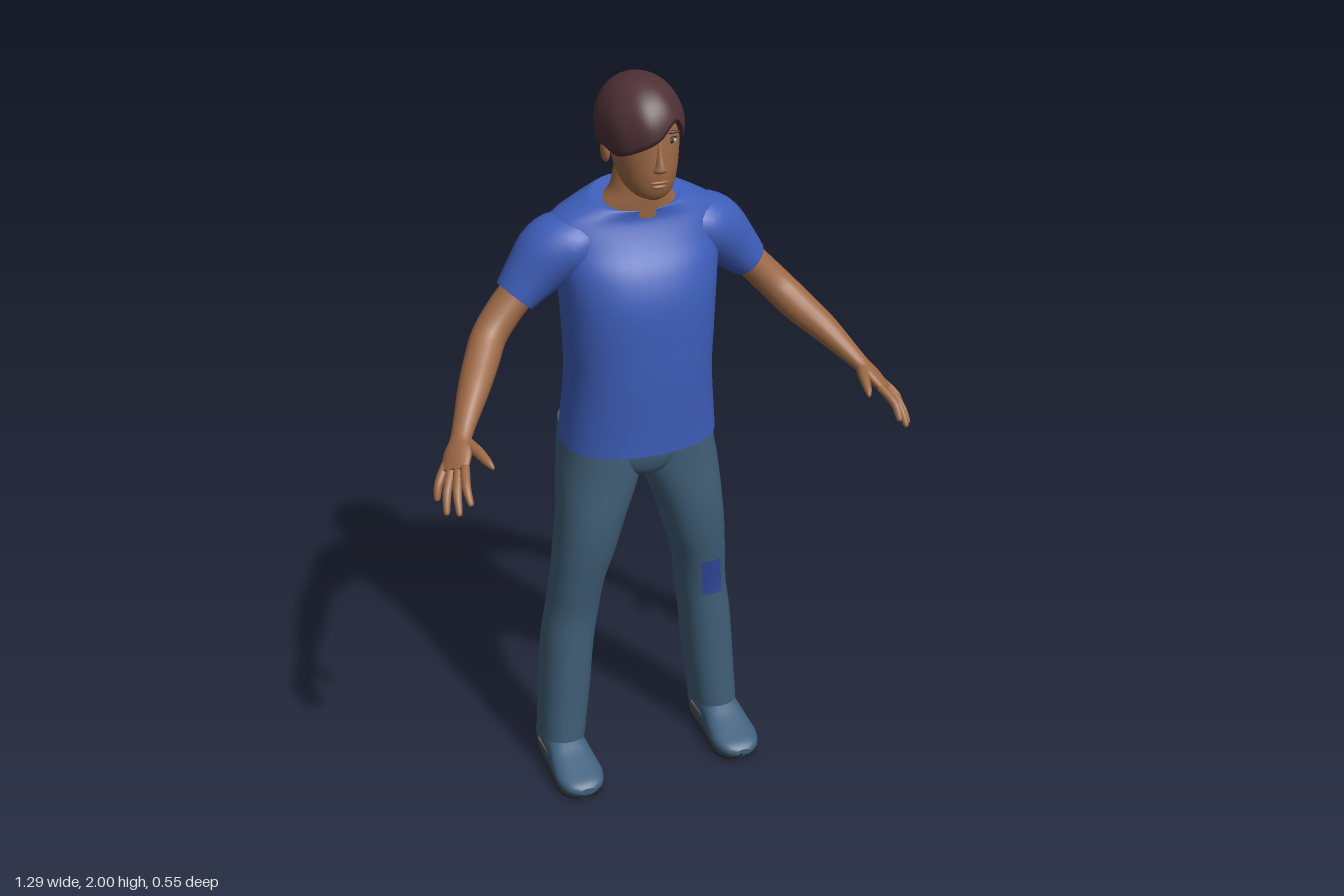
import * as THREE from 'three';

const V = (x, y, z) => new THREE.Vector3(x, y, z);
const mat = (name, color, side = THREE.FrontSide) => {
  const m = new THREE.MeshStandardMaterial({ color, side });
  m.name = name;
  return m;
};

// Smoothly interpolate rows of numbers (Catmull-Rom per column)
function smooth(rows, k = 4) {
  const out = [], at = i => rows[Math.min(Math.max(i, 0), rows.length - 1)];
  for (let i = 0; i < rows.length - 1; i++) {
    for (let j = 0; j < k; j++) {
      const t = j / k;
      out.push(rows[0].map((_, c) => {
        const a = at(i - 1)[c], b = at(i)[c], d = at(i + 1)[c], e = at(i + 2)[c];
        return b + 0.5 * t * (d - a + t * (2 * a - 5 * b + 4 * d - e + t * (3 * (b - d) + e - a)));
      }));
    }
  }
  out.push(rows[rows.length - 1]);
  return out;
}

// Superelliptic ring spanned by u and v, from angle a0 to a1
function ring(c, u, v, p = 2, n = 28, a0 = 0, a1 = Math.PI * 2) {
  const f = x => Math.sign(x) * Math.pow(Math.abs(x), 2 / p);
  return Array.from({ length: n }, (_, i) => {
    const a = a0 + (a1 - a0) * i / n;
    return c.clone().addScaledVector(u, f(Math.cos(a))).addScaledVector(v, f(Math.sin(a)));
  });
}

// Skin a list of rings; closed lofts get end caps and outward winding
function loft(rings, closed = true) {
  const pos = [], idx = [], n = rings[0].length;
  const put = p => { pos.push(p.x, p.y, p.z); return pos.length / 3 - 1; };
  rings.forEach(r => r.forEach(put));
  for (let i = 0; i < rings.length - 1; i++) {
    for (let j = 0; j < (closed ? n : n - 1); j++) {
      const a = i * n + j, b = i * n + (j + 1) % n;
      idx.push(a, a + n, b, b, a + n, b + n);
    }
  }
  if (closed) {
    [rings[0], rings[rings.length - 1]].forEach((r, e) => {
      const c = put(r.reduce((s, p) => s.add(p), V(0, 0, 0)).divideScalar(n)), o = r.map(put);
      for (let j = 0; j < n; j++) {
        const k = (j + 1) % n;
        if (e) idx.push(c, o[k], o[j]); else idx.push(c, o[j], o[k]);
      }
    });
    let vol = 0;
    const P = i => V(pos[3 * i], pos[3 * i + 1], pos[3 * i + 2]);
    for (let i = 0; i < idx.length; i += 3) vol += P(idx[i]).dot(P(idx[i + 1]).cross(P(idx[i + 2])));
    if (vol < 0) idx.reverse();
  }
  const g = new THREE.BufferGeometry();
  g.setAttribute('position', new THREE.Float32BufferAttribute(pos, 3));
  g.setIndex(idx);
  g.computeVertexNormals();
  return g;
}

// Upright form, rows are [y, cx, cz, rx, rz, front dip]
const upright = (rows, p = 2, k = 4) => loft(smooth(rows, k).map(([y, cx, cz, rx, rz, dip = 0]) =>
  ring(V(cx, y, cz), V(rx, 0, 0), V(0, -dip, rz), p, 36)));

// Limb along a path, rows are [x, y, z, half width, half thickness]
const across = V(0.5, -0.2, -0.84).normalize();
function limb(rows, n = 18, k = 4) {
  const s = smooth(rows, k), pt = s.map(r => V(r[0], r[1], r[2]));
  return loft(s.map((r, i) => {
    const t = pt[Math.min(i + 1, s.length - 1)].clone().sub(pt[Math.max(i - 1, 0)]).normalize();
    const u = across.clone().addScaledVector(t, -across.dot(t)).normalize();
    const v = t.clone().cross(u);
    return ring(pt[i], u.multiplyScalar(r[3]), v.multiplyScalar(r[4]), 2, n);
  }));
}

function mirror(geo) {
  const g = geo.clone();
  g.scale(-1, 1, 1);
  g.setIndex(Array.from(g.index.array).reverse());
  return g;
}

export function createModel() {
  const root = new THREE.Group();
  root.name = 'standingMan';
  const skin = mat('skin', 0x9c6845), hair = mat('hair', 0x4e3035), shirt = mat('shirtBlue', 0x3d5db8);
  const denim = mat('denim', 0x3f5d75), shoe = mat('shoe', 0x3f5f7c), sole = mat('sole', 0x22272b);
  const patch = mat('kneePatch', 0x34489c, THREE.DoubleSide), tear = mat('tear', 0xa07050, THREE.DoubleSide);
  const white = mat('eyeWhite', 0xb8b0a8), dark = mat('eyeDark', 0x2c2422);
  const add = (name, geo, m) => {
    const o = new THREE.Mesh(geo, m);
    o.name = name;
    root.add(o);
  };
  const pair = (name, geo, m) => { add(name + 'Left', geo, m); add(name + 'Right', mirror(geo), m); };
  const blob = (x, y, z, rx, ry, rz) => new THREE.SphereGeometry(1, 18, 12).scale(rx, ry, rz).translate(x, y, z);

  // Shirt body and sleeves
  add('shirt', upright([
    [1.01, 0, -0.11, 0.212, 0.16, 0], [1.07, 0, -0.107, 0.206, 0.16, 0], [1.2, 0, -0.1, 0.195, 0.162, 0],
    [1.3, 0, -0.097, 0.198, 0.16, 0], [1.42, 0, -0.1, 0.205, 0.16, 0], [1.5, 0, -0.111, 0.216, 0.149, 0],
    [1.56, 0, -0.125, 0.23, 0.13, 0], [1.6, 0, -0.13, 0.237, 0.115, 0], [1.635, 0, -0.128, 0.218, 0.101, 0.004],
    [1.662, 0, -0.12, 0.172, 0.092, 0.012], [1.682, 0, -0.11, 0.124, 0.084, 0.021],
    [1.683, 0, -0.108, 0.112, 0.077, 0.024],
  ], 2.25), shirt);
  pair('sleeve', limb([
    [0.1, 1.55, -0.125, 0.09, 0.07], [0.17, 1.56, -0.13, 0.104, 0.085], [0.222, 1.542, -0.131, 0.094, 0.087],
    [0.278, 1.49, -0.129, 0.073, 0.069], [0.323, 1.443, -0.125, 0.06, 0.052],
  ], 24), shirt);

  // Arms and hands
  pair('arm', limb([
    [0.27, 1.495, -0.128, 0.05, 0.045], [0.34, 1.425, -0.122, 0.049, 0.044], [0.4, 1.36, -0.1, 0.046, 0.045],
    [0.44, 1.315, -0.05, 0.045, 0.044], [0.485, 1.27, 0.015, 0.041, 0.037], [0.545, 1.2, 0.1, 0.029, 0.022],
    [0.565, 1.176, 0.133, 0.041, 0.02], [0.588, 1.146, 0.17, 0.042, 0.013],
  ]), skin);
  const tips = [[0.58, 1.1, 0.272], [0.607, 1.073, 0.262], [0.63, 1.064, 0.23], [0.638, 1.078, 0.178]];
  tips.forEach((t, i) => {
    const b = V(0.582, 1.154, 0.16).addScaledVector(across, -0.032 + 0.0213 * i), e = V(...t);
    const m = b.clone().lerp(e, 0.55).add(V(0.006, 0.008, 0.004));
    const near = m.clone().lerp(e, 0.85);
    pair('finger' + (i + 1), limb([[...b, 0.012, 0.012], [...m, 0.011, 0.011],
      [...near, 0.008, 0.008], [...e, 0.003, 0.003]], 10, 3), skin);
  });
  pair('thumb', limb([[0.545, 1.192, 0.115, 0.018, 0.016], [0.527, 1.186, 0.165, 0.015, 0.014],
    [0.515, 1.175, 0.21, 0.011, 0.01], [0.508, 1.167, 0.232, 0.004, 0.004]], 10), skin);

  // Trousers
  const legRows = [
    [1.05, 0.105, -0.125, 0.098, 0.13], [0.98, 0.109, -0.122, 0.103, 0.128], [0.91, 0.114, -0.108, 0.108, 0.114],
    [0.8, 0.14, -0.093, 0.092, 0.1], [0.7, 0.16, -0.095, 0.082, 0.093], [0.6, 0.179, -0.103, 0.071, 0.084],
    [0.5, 0.191, -0.116, 0.07, 0.08], [0.4, 0.206, -0.12, 0.07, 0.083], [0.25, 0.219, -0.12, 0.068, 0.085],
    [0.1, 0.233, -0.115, 0.063, 0.085],
  ];
  pair('trouserLeg', upright(legRows, 2.3), denim);
  add('trouserSeat', upright([[1.05, 0, -0.125, 0.198, 0.13], [0.98, 0, -0.122, 0.18, 0.126],
    [0.93, 0, -0.112, 0.1, 0.1], [0.905, 0, -0.108, 0.03, 0.06]], 2.2), denim);

  // Worn areas that follow the leg surface
  const wear = (y0, y1, a0, a1) => loft(smooth(legRows, 10).filter(r => r[0] > y0 && r[0] < y1)
    .map(([y, cx, cz, rx, rz]) => ring(V(cx, y, cz), V(rx + 0.003, 0, 0), V(0, 0, rz + 0.003), 2.3, 9,
      a0 * Math.PI / 180, a1 * Math.PI / 180)), false);
  add('kneePatch', wear(0.49, 0.615, 66, 112), patch);
  add('calfTear', wear(0.44, 0.53, 238, 257), tear);
  add('thighTear', mirror(wear(0.775, 0.85, 196, 214)), tear);

  // Shoes, rows are [z, half width, bottom, top]
  const shoeRows = [[-0.2, 0.03, 0.025, 0.07], [-0.188, 0.046, 0.012, 0.11], [-0.14, 0.054, 0.01, 0.124],
    [-0.06, 0.057, 0.01, 0.118], [0, 0.064, 0.01, 0.09], [0.05, 0.066, 0.012, 0.07],
    [0.09, 0.05, 0.016, 0.055], [0.108, 0.022, 0.022, 0.042]];
  const shoeLoft = (isSole) => loft(smooth(shoeRows).map(([z, w, b, t]) => {
    const lo = isSole ? b - 0.008 : b, hi = isSole ? b + 0.007 : t;
    return ring(V(0.236, (lo + hi) / 2, z), V(w * (isSole ? 0.95 : 1), 0, 0), V(0, (hi - lo) / 2, 0),
      isSole ? 4 : 2.5, 24);
  }));
  pair('shoe', shoeLoft(false), shoe);
  pair('sole', shoeLoft(true), sole);
  pair('shoeTrim', new THREE.BoxGeometry(0.114, 0.006, 0.08).translate(0.236, 0.064, -0.1), tear);

  // Neck, head and ears
  add('neck', upright([[1.62, 0, -0.11, 0.12, 0.08], [1.665, 0, -0.105, 0.104, 0.08], [1.7, 0, -0.092, 0.077, 0.071],
    [1.735, 0, -0.09, 0.066, 0.067], [1.77, 0, -0.092, 0.058, 0.06], [1.8, 0, -0.095, 0.05, 0.05]]), skin);
  add('head', upright([
    [1.706, 0, 0.004, 0.02, 0.022], [1.717, 0, -0.008, 0.045, 0.045], [1.74, 0, -0.03, 0.064, 0.077],
    [1.775, 0, -0.045, 0.075, 0.098], [1.82, 0, -0.052, 0.082, 0.104], [1.87, 0, -0.058, 0.086, 0.106],
    [1.92, 0, -0.062, 0.082, 0.1], [1.97, 0, -0.066, 0.05, 0.06],
  ], 2), skin);
  pair('ear', blob(0.09, 1.812, -0.083, 0.011, 0.032, 0.02), skin);

  // Face details
  add('nose', upright([[1.782, 0, 0.045, 0.012, 0.01], [1.79, 0, 0.05, 0.018, 0.018], [1.802, 0, 0.05, 0.013, 0.017],
    [1.83, 0, 0.046, 0.009, 0.012], [1.865, 0, 0.042, 0.008, 0.008]]), skin);
  add('upperLip', blob(0, 1.758, 0.047, 0.024, 0.005, 0.007), skin);
  add('lowerLip', blob(0, 1.747, 0.045, 0.02, 0.006, 0.008), skin);
  pair('eye', blob(0.035, 1.857, 0.037, 0.014, 0.007, 0.005), white);
  pair('iris', blob(0.034, 1.857, 0.04, 0.006, 0.006, 0.004), dark);
  pair('eyelid', blob(0.035, 1.865, 0.039, 0.015, 0.0025, 0.004), dark);
  pair('eyebrow', blob(0.037, 1.879, 0.039, 0.02, 0.004, 0.005), hair);

  // Hair with a side-swept fringe: hem heights every 30 degrees, from the left side over the front
  const hem = [1.848, 1.845, 1.908, 1.87, 1.84, 1.822, 1.838, 1.785, 1.765, 1.755, 1.765, 1.79];
  const n = 60, cy = 1.88, ry = 0.12, hairRings = [];
  const hemRows = smooth([...hem, hem[0]].map(h => [h]), n / 12);
  for (let i = 0; i <= 18; i++) {
    const t = Math.min(i, 17) / 17, tuck = i === 18 ? 0.8 : 1;
    hairRings.push(Array.from({ length: n }, (_, j) => {
      const a = j / n * Math.PI * 2;
      const y = 2 - (2 - hemRows[j][0]) * (1 - Math.cos(t * Math.PI / 2));
      const d = (y - cy) / ry;
      const r = (d > 0 ? Math.sqrt(Math.max(0, 1 - d * d)) : 1 - 0.3 * d * d) * tuck;
      const lock = 1 + 0.012 * t * Math.sin(9 * a + 5 * t);
      return V(-0.007 + 0.107 * r * lock * Math.cos(a), y, -0.07 + 0.139 * r * lock * Math.sin(a));
    }));
  }
  add('hair', loft(hairRings), hair);
  return root;
}
